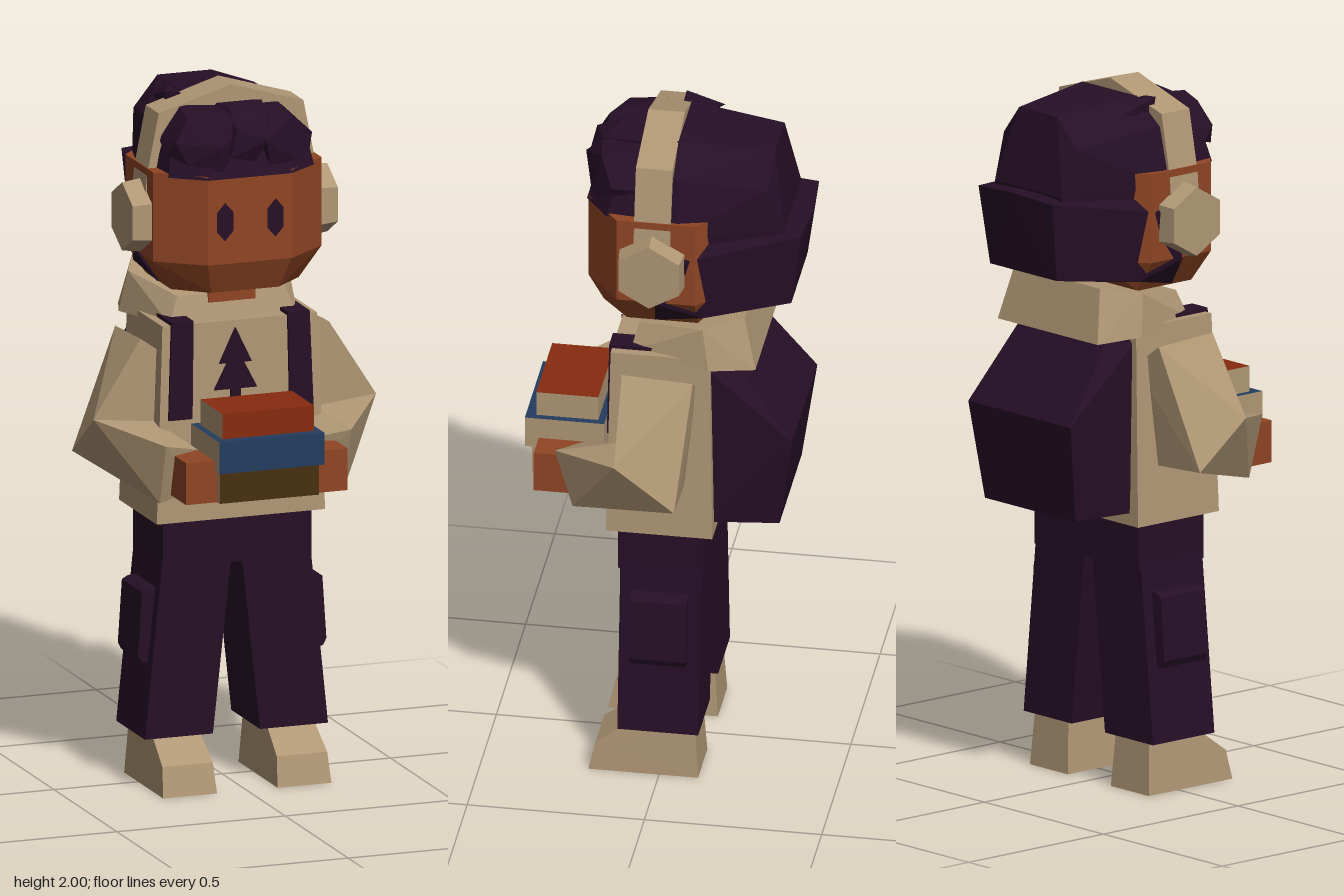
import * as THREE from 'three';
import { ConvexGeometry } from 'three/addons/geometries/ConvexGeometry.js';

const mat = (name, color) => {
  const m = new THREE.MeshStandardMaterial({ color, flatShading: true });
  m.name = name;
  return m;
};

export function createModel() {
  const model = new THREE.Group();
  model.name = 'studentWithBooks';
  const tan = mat('tanCloth', 0xb09775);
  const plum = mat('darkPlum', 0x260f26);
  const skin = mat('skin', 0x8f4524);
  const red = mat('redCover', 0x882b0f);
  const blue = mat('blueCover', 0x243c5e);
  const brown = mat('brownCover', 0x463010);

  const add = (name, geometry, material) => {
    const mesh = new THREE.Mesh(geometry, material);
    mesh.name = name;
    model.add(mesh);
    return mesh;
  };
  // faceted solid around a few corner points; side = -1 mirrors it
  const hull = (name, material, pts, side = 1) =>
    add(name, new ConvexGeometry(pts.map(([x, y, z]) => new THREE.Vector3(x * side, y, z))), material);
  // left-right symmetric solid from the corners of one half
  const both = (name, material, pts) =>
    hull(name, material, pts.flatMap(([x, y, z]) => (x ? [[x, y, z], [-x, y, z]] : [[x, y, z]])));
  const box = (name, material, x0, x1, y0, y1, z0, z1) => {
    const m = add(name, new THREE.BoxGeometry(x1 - x0, y1 - y0, z1 - z0), material);
    m.position.set((x0 + x1) / 2, (y0 + y1) / 2, (z0 + z1) / 2);
    return m;
  };

  // Torso, hood and neck
  both('torso', tan, [
    [0.25, 0.775, 0.15], [0.25, 0.775, -0.15], [0.23, 1.34, 0.14], [0.23, 1.34, -0.14]]);
  both('hood', tan, [
    [0.19, 1.33, 0.09], [0.255, 1.32, -0.14], [0.21, 1.31, -0.265],
    [0.16, 1.405, 0.07], [0.235, 1.44, -0.12], [0.18, 1.46, -0.23]]);
  box('neck', skin, -0.07, 0.07, 1.38, 1.46, -0.06, 0.08);

  // Trousers
  box('waist', plum, -0.22, 0.22, 0.64, 0.79, -0.12, 0.12);

  for (const s of [1, -1]) {
    const side = s > 0 ? 'left' : 'right';
    // Leg, cargo pocket and shoe
    hull(side + 'Leg', plum, [0.114, -0.114].flatMap((z) => [
      [0.015, 0.66, z], [0.22, 0.66, z], [0.07, 0.15, z], [0.272, 0.15, z]]), s);
    hull(side + 'Pocket', plum, [0.08, -0.08].flatMap((z) => [
      [0.2, 0.58, z], [0.25, 0.575, z], [0.268, 0.565, z],
      [0.28, 0.385, z], [0.27, 0.365, z], [0.2, 0.36, z]]), s);
    hull(side + 'Shoe', tan, [
      [0.09, 0, 0.2], [0.25, 0, 0.2], [0.095, 0.085, 0.18], [0.245, 0.085, 0.18],
      [0.1, 0.155, 0.085], [0.24, 0.155, 0.085], [0.1, 0.155, -0.1], [0.24, 0.155, -0.1],
      [0.09, 0, -0.11], [0.25, 0, -0.11]], s);

    // Sleeve in two pieces sharing the elbow, and hand
    const elbow = [[0.42, 1.08, 0.1], [0.42, 0.95, -0.07], [0.24, 1.06, 0.1], [0.24, 0.94, -0.07]];
    hull(side + 'UpperArm', tan, [
      [0.28, 1.3, 0.1], [0.28, 1.29, -0.1], [0.18, 1.23, 0.1], [0.18, 1.22, -0.1], ...elbow], s);
    hull(side + 'Forearm', tan, [
      ...elbow, [0.275, 1.035, 0.29], [0.275, 0.86, 0.24], [0.155, 1.0, 0.225], [0.155, 0.88, 0.2]], s);
    hull(side + 'Hand', skin, [0.88, 1.0].flatMap((y) => [
      [0.14, y, 0.2], [0.24, y, 0.2], [0.14, y, 0.355], [0.24, y, 0.355]]), s);

    // Backpack strap over the shoulder
    hull(side + 'Strap', plum, [
      [0.14, 1.35, 0.148], [0.205, 1.35, 0.148], [0.145, 1.07, 0.153], [0.215, 1.07, 0.153],
      [0.14, 1.35, -0.15], [0.205, 1.35, -0.15], [0.145, 1.07, -0.16], [0.215, 1.07, -0.16]], s);

    // Headphone cup
    const cup = add(side + 'EarCup', new THREE.CylinderGeometry(0.098, 0.112, 0.1, 6), tan);
    cup.geometry.rotateY(Math.PI / 6 + Math.PI / 3 + Math.PI / 2 - Math.PI / 2);
    cup.geometry.rotateY(-Math.PI / 2 + Math.PI / 3 + Math.PI / 6);
    cup.geometry.rotateY(Math.PI / 6 - Math.PI / 2);
    cup.geometry.rotateZ(-s * Math.PI / 2);
    cup.position.set(s * 0.255, 1.635, 0.02);

    // Eye
    const eye = add(side + 'Eye', new THREE.CircleGeometry(1, 6).rotateZ(Math.PI / 6), plum);
    eye.scale.set(0.028, 0.055, 1);
    eye.position.set(s * 0.075, 1.647, 0.224);
  }

  // Backpack
  both('backpack', plum, [
    [0.215, 1.3, -0.13], [0.215, 0.81, -0.13], [0.18, 1.3, -0.21],
    [0.215, 1.09, -0.37], [0.19, 0.81, -0.33]]);

  // Tree emblem on the chest
  const tree = new THREE.Shape([
    [0, 1.32], [0.048, 1.22], [0.025, 1.22], [0.064, 1.145], [0.015, 1.145], [0.015, 1.1],
    [-0.015, 1.1], [-0.015, 1.145], [-0.064, 1.145], [-0.025, 1.22], [-0.048, 1.22],
  ].map(([x, y]) => new THREE.Vector2(x - 0.015, y)));
  add('treeEmblem', new THREE.ExtrudeGeometry(tree, { depth: 0.008, bevelEnabled: false }), plum)
    .position.z = 0.141;

  // Stacked books with pale page edges
  for (const [name, cover, w, y0, y1, z0, z1] of [
    ['bottomBook', brown, 0.147, 0.88, 0.97, 0.17, 0.375],
    ['middleBook', blue, 0.156, 0.97, 1.062, 0.17, 0.394],
    ['topBook', red, 0.136, 1.062, 1.135, 0.19, 0.365],
  ]) box(name, [tan, tan, cover, cover, cover, tan], -w, w, y0, y1, z0, z1);

  // Head with bevelled cheeks and chin
  both('head', skin, [
    ...[1.78, 1.525].flatMap((y) => [[0.125, y, 0.22], [0.25, y, 0.12], [0.25, y, -0.1], [0.15, y, -0.2]]),
    [0.1, 1.435, 0.18], [0.19, 1.435, 0.1], [0.19, 1.435, -0.1]]);

  // Hair: hairline, crown and the flared lower back
  both('hairline', plum, [
    [0.123, 1.77, 0.224], [0.215, 1.77, 0.155], [0.23, 1.77, 0],
    [0.11, 1.84, 0.2], [0.2, 1.86, 0.13], [0.2, 1.88, 0]]);
  both('crownHair', plum, [
    [0.1, 1.95, 0.05], [0.195, 1.89, 0.05], [0.235, 1.75, 0.04],
    [0.11, 1.97, -0.04], [0.21, 1.9, -0.05], [0.25, 1.74, -0.05], [0.24, 1.55, -0.03],
    [0.08, 1.945, -0.3], [0.155, 1.86, -0.29], [0.14, 1.73, -0.337], [0.14, 1.55, -0.3]]);
  both('lowerHair', plum, [
    [0.25, 1.7, 0], [0.255, 1.52, 0.01], [0.2, 1.44, 0.02], [0.265, 1.66, -0.04],
    [0.155, 1.72, -0.385], [0, 1.73, -0.398], [0.21, 1.69, -0.2],
    [0.14, 1.495, -0.355], [0.22, 1.47, -0.12]]);

  // Tousled fringe locks
  hull('rightFringe', plum, [
    [-0.215, 1.83, 0.13], [-0.2, 1.87, 0.17], [-0.17, 1.81, 0.19], [-0.09, 1.86, 0.232],
    [-0.08, 1.79, 0.222], [-0.16, 1.935, 0.15], [-0.06, 1.94, 0.19], [-0.15, 1.955, 0.04],
    [-0.21, 1.87, 0.04], [0, 1.9, 0.19], [0, 1.94, 0.05]]);
  hull('middleFringe', plum, [
    [-0.06, 1.83, 0.226], [0.02, 1.81, 0.21], [0.05, 1.87, 0.23], [-0.04, 1.91, 0.222],
    [0.06, 1.935, 0.19], [-0.03, 1.95, 0.14], [-0.05, 1.95, 0.04], [0.1, 1.95, 0.04]]);
  hull('leftFringe', plum, [
    [0.04, 1.875, 0.24], [0.06, 1.8, 0.225], [0.15, 1.8, 0.205], [0.2, 1.82, 0.16],
    [0.215, 1.86, 0.14], [0.14, 1.92, 0.18], [0.07, 1.93, 0.19], [0.14, 1.94, 0.05],
    [0.215, 1.86, 0.05], [0.02, 1.94, 0.06]]);
  hull('strayLock', plum, [
    [-0.165, 1.972, -0.01], [-0.12, 1.968, -0.01], [-0.16, 1.9, -0.02], [-0.1, 1.9, -0.02],
    [-0.12, 1.965, -0.12], [-0.16, 1.94, -0.12]]);

  // Headphone band arching over the hair
  const arch = new THREE.Shape([
    [-0.255, 1.7], [-0.25, 1.76], [-0.215, 1.935], [0, 2], [0.215, 1.935], [0.25, 1.76], [0.255, 1.7],
    [0.205, 1.7], [0.2, 1.75], [0.175, 1.895], [0, 1.95], [-0.175, 1.895], [-0.2, 1.75], [-0.205, 1.7],
  ].map(([x, y]) => new THREE.Vector2(x, y)));
  add('headphoneBand', new THREE.ExtrudeGeometry(arch, { depth: 0.103, bevelEnabled: false }), tan)
    .position.z = -0.032;

  return model;
}
